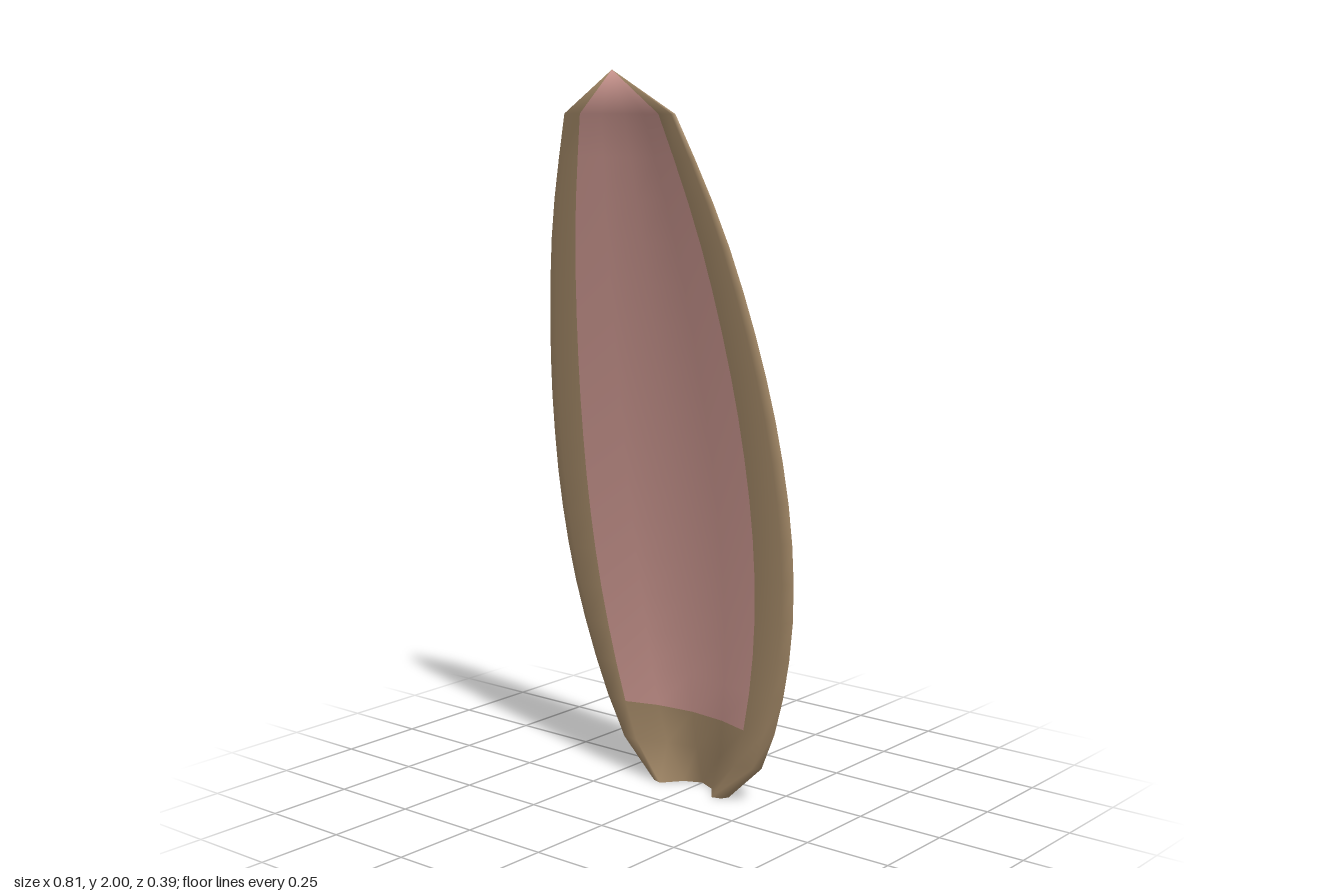
import * as THREE from 'three';

const RINGS = 18, SIDES = 16, HEIGHT = 2;

// half width of the ear at each ring, from the cut base to the tip
const HALF_WIDTH = [0.132, 0.25, 0.3, 0.336, 0.364, 0.385, 0.398, 0.404, 0.404, 0.398,
  0.388, 0.373, 0.354, 0.331, 0.304, 0.27, 0.23, 0.187, 0];

// one cross-section: rounded back, soft rim and a hollowed front
function ringPoints(i) {
  const t = i / RINGS, w = HALF_WIDTH[i];
  const rim = -0.11 + 0.305 * Math.pow(t, 1.5);
  const depth = i === RINGS ? 0 : 0.084 - 0.049 * t;
  const edge = 0.35 * (1 - t) * depth; // widest line sits this far behind the rim
  const hollow = depth * [0.93, 0.7, 0.55][Math.min(i, 2)];
  const points = [];
  for (let j = 0; j < SIDES; j++) {
    const a = (j / SIDES) * Math.PI * 2, u = Math.cos(a), s = Math.sin(a);
    let z = rim;
    if (j > 2 && j < 6) z -= hollow * (1 - 2 * u * u);
    else if (j === 1 || j === 7) z -= edge * 0.3;
    else if (j === 0 || j >= 8) z -= edge + (depth - edge) * Math.abs(s);
    points.push(u * w, t * HEIGHT, z);
  }
  return points;
}

function earGeometry() {
  const positions = [], fur = [], inner = [];
  for (let i = 0; i < RINGS; i++) positions.push(...ringPoints(i));
  const tip = RINGS * SIDES;
  positions.push(...ringPoints(RINGS).slice(0, 3));

  for (let i = 0; i < RINGS; i++) {
    for (let j = 0; j < SIDES; j++) {
      const k = (j + 1) % SIDES;
      const a = i * SIDES + j, b = i * SIDES + k;
      // the middle of the front, above the base, is the inner ear
      const target = i >= 2 && j >= 2 && j < 6 ? inner : fur;
      if (i === RINGS - 1) target.push(a, tip, b);
      else target.push(a, a + SIDES, b, b, a + SIDES, b + SIDES);
    }
  }
  const g = new THREE.BufferGeometry();
  g.setAttribute('position', new THREE.Float32BufferAttribute(positions, 3));
  g.setIndex([...fur, ...inner]);
  g.addGroup(0, fur.length, 0);
  g.addGroup(fur.length, inner.length, 1);
  g.computeVertexNormals();
  return g;
}

// flat underside: strips joining the front and back of the base ring
function baseGeometry() {
  const index = [];
  for (let j = 0; j < SIDES / 2; j++) {
    const front = j, nextFront = j + 1;
    const back = (SIDES - j) % SIDES, nextBack = SIDES - 1 - j;
    if (j > 0) index.push(back, front, nextBack);
    if (nextFront !== nextBack) index.push(front, nextFront, nextBack);
  }
  const g = new THREE.BufferGeometry();
  g.setAttribute('position', new THREE.Float32BufferAttribute(ringPoints(0), 3));
  g.setIndex(index);
  g.computeVertexNormals();
  return g;
}

export function createModel() {
  const fur = new THREE.MeshStandardMaterial({ color: 0xa68b69 });
  fur.name = 'tan fur';
  const pink = new THREE.MeshStandardMaterial({ color: 0xd09a93 });
  pink.name = 'inner pink';

  const model = new THREE.Group();
  model.name = 'ear';
  const shell = new THREE.Mesh(earGeometry(), [fur, pink]);
  shell.name = 'earShell';
  const base = new THREE.Mesh(baseGeometry(), fur);
  base.name = 'earBase';
  model.add(shell, base);
  return model;
}
